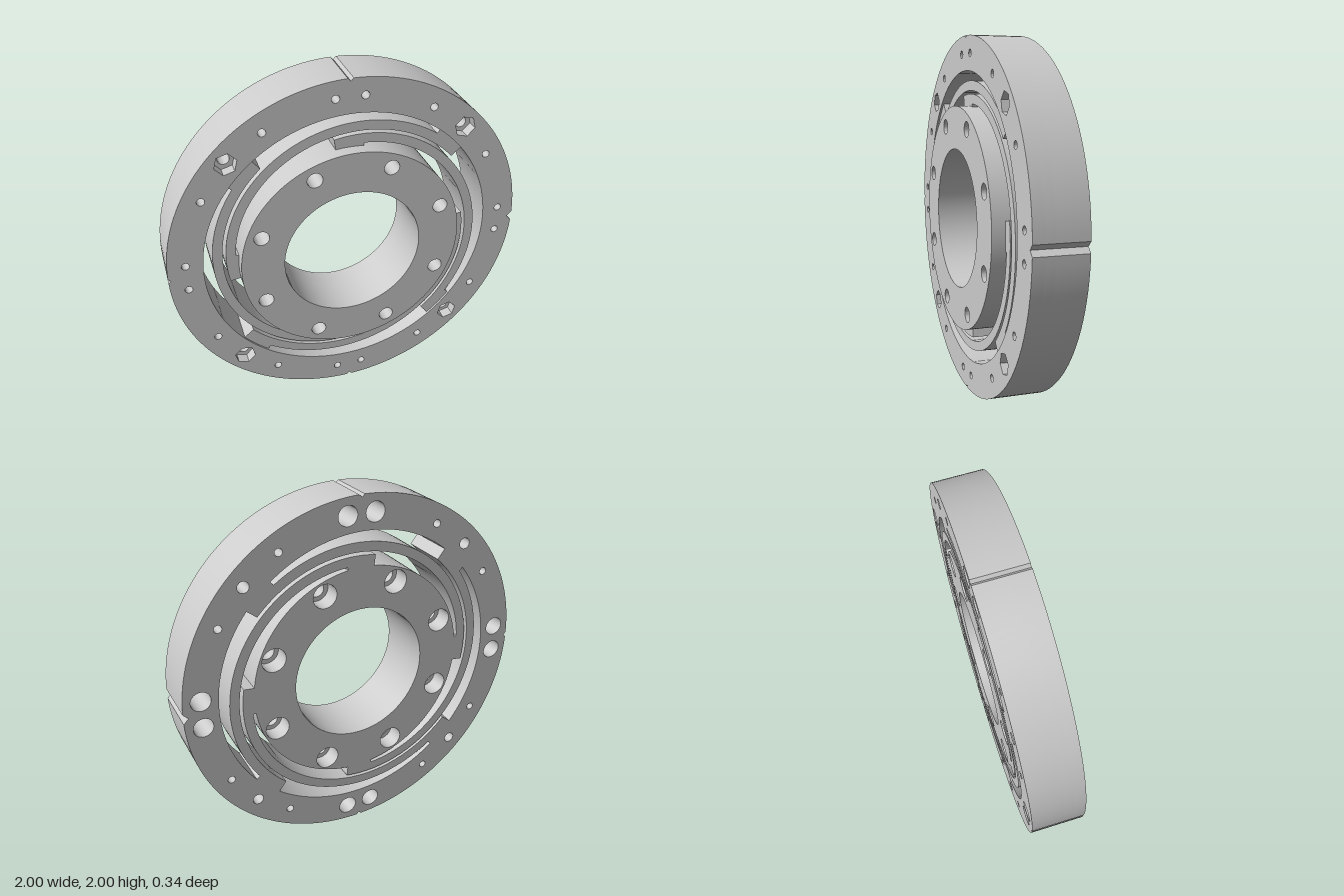
import * as THREE from 'three';
import { toCreasedNormals } from 'three/addons/utils/BufferGeometryUtils.js';

const BACK = -0.172, RING_FRONT = 0.112, HUB_FRONT = 0.172;
const RING_IN = 0.812, HUB_OUT = 0.622, HUB_IN = 0.387;
const rad = THREE.MathUtils.degToRad;
const polar = (r, deg) => new THREE.Vector2(r * Math.cos(rad(deg)), r * Math.sin(rad(deg)));

function circle(x, y, r, n = 28, turn = 0) {
  const pts = [];
  for (let i = 0; i < n; i++) pts.push(polar(r, turn + (i * 360) / n).add(new THREE.Vector2(x, y)));
  return pts;
}

// Flat plate between two depths, with holes given as point loops
function plate(name, outline, holes, z0, z1, material) {
  const shape = new THREE.Shape(outline);
  holes.forEach((h) => shape.holes.push(new THREE.Path(h)));
  const geo = new THREE.ExtrudeGeometry(shape, { depth: z1 - z0, bevelEnabled: false });
  geo.translate(0, 0, z0);
  const mesh = new THREE.Mesh(toCreasedNormals(geo, 0.5), material);
  mesh.name = name;
  return mesh;
}

// Outer rim with four V notches, the one at +x larger
function rimOutline() {
  const pts = [];
  for (let q = 0; q < 4; q++) {
    const half = q === 0 ? 1.6 : 0.85;
    const nextHalf = q === 3 ? 1.6 : 0.85;
    pts.push(polar(q === 0 ? 0.972 : 0.985, q * 90));
    for (let i = 0; i <= 40; i++) {
      pts.push(polar(1, q * 90 + half + ((90 - half - nextHalf) * i) / 40));
    }
  }
  return pts;
}

// Spiral flexure: thick foot on the hub, slim leaf, thick foot on the ring
function armOutline() {
  const inner = [], outer = [];
  const start = 97, end = -51, footHub = 83, footRing = -38;
  const add = (a, hubFoot, ringFoot) => {
    const grow = (start - a) * 0.00079;
    inner.push(polar(hubFoot ? HUB_OUT - 0.005 : 0.627 + grow, a));
    outer.push(polar(ringFoot ? RING_IN + 0.003 : 0.68 + grow, a));
  };
  const span = (a, b, n, hubFoot, ringFoot) => {
    for (let i = 0; i <= n; i++) add(a + ((b - a) * i) / n, hubFoot, ringFoot);
  };
  span(start, footHub, 6, true, false);
  span(footHub - 0.05, footRing, 60, false, false);
  span(footRing - 0.05, end, 6, false, true);
  return inner.concat(outer.reverse());
}

export function createModel() {
  const model = new THREE.Group();
  model.name = 'flexureCoupling';
  const mat = new THREE.MeshStandardMaterial({ color: 0xcccccc });

  const body = new THREE.Group();
  body.name = 'body';
  body.position.y = 1;
  model.add(body);

  // Outer ring: stacked plates for counterbores, plain bores and hex pockets
  const ring = new THREE.Group();
  ring.name = 'outerRing';
  const ringHoles = (pairRadius, cornerRadius, cornerSides) => {
    const holes = [circle(0, 0, RING_IN, 160)];
    for (let q = 0; q < 4; q++) {
      for (const a of [-4.9, 4.9]) {
        const p = polar(0.905, q * 90 + a);
        holes.push(circle(p.x, p.y, pairRadius));
      }
      for (const a of [30, 60]) {
        const p = polar(0.902, q * 90 + a);
        holes.push(circle(p.x, p.y, 0.021));
      }
      const c = polar(0.904, q * 90 + 45);
      holes.push(circle(c.x, c.y, cornerRadius, cornerSides, q * 90 + 45));
    }
    return holes;
  };
  const rim = rimOutline();
  ring.add(
    plate('ringCounterboreLayer', rim, ringHoles(0.054, 0.031, 28), BACK, 0, mat),
    plate('ringMiddleLayer', rim, ringHoles(0.021, 0.031, 28), 0, 0.05, mat),
    plate('ringNutPocketLayer', rim, ringHoles(0.021, 0.06, 6), 0.05, RING_FRONT, mat)
  );
  body.add(ring);

  // Hub: eight bolt holes, counterbored from the back
  const hub = new THREE.Group();
  hub.name = 'hub';
  const hubHoles = (r) => {
    const holes = [circle(0, 0, HUB_IN, 128)];
    for (let i = 0; i < 8; i++) {
      const p = polar(0.543, 22.5 + i * 45);
      holes.push(circle(p.x, p.y, r, 36));
    }
    return holes;
  };
  const hubEdge = circle(0, 0, HUB_OUT, 160);
  hub.add(
    plate('hubCounterboreLayer', hubEdge, hubHoles(0.067), BACK, -0.07, mat),
    plate('hubFrontLayer', hubEdge, hubHoles(0.042), -0.07, HUB_FRONT, mat)
  );
  body.add(hub);

  // Four spiral flexure arms joining hub and ring
  const outline = armOutline();
  for (let q = 0; q < 4; q++) {
    const arm = plate('flexureArm', outline, [], BACK, RING_FRONT - 0.012, mat);
    arm.rotation.z = (q * Math.PI) / 2;
    body.add(arm);
  }
  return model;
}
